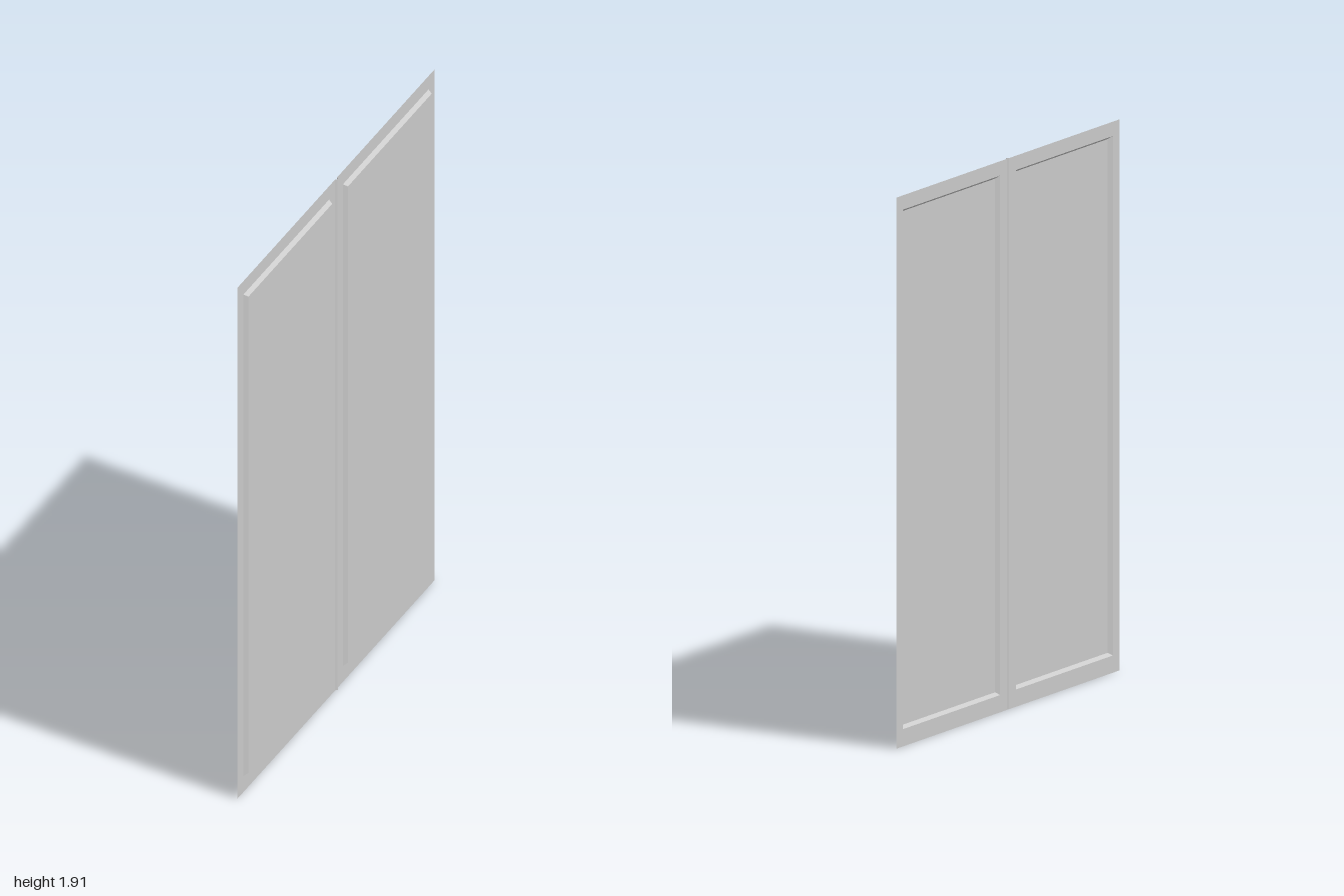
import * as THREE from 'three';

const HEIGHT = 1.915;
const BACK = -0.008;   // depth of the flat frame sheet
const FRONT = 0.007;   // depth of the raised panel
const RIDGE = -0.001;  // depth of the centre strip
const STRIP = 0.008;   // half width of the centre strip

const material = new THREE.MeshStandardMaterial({
  color: 0xcccccc, side: THREE.DoubleSide, flatShading: true,
});

function mesh(name, geometry) {
  const m = new THREE.Mesh(geometry, material);
  m.name = name;
  return m;
}

// Corners of a rectangle, counter-clockwise
const rect = (u0, u1, y0, y1) => [[u0, y0], [u1, y0], [u1, y1], [u0, y1]];
const points = (r) => r.map(([u, y]) => new THREE.Vector2(u, y));

// Sloped band joining an outer rectangle to an inner one
function bevel(outer, inner, zOuter, zInner) {
  const pos = [];
  for (let i = 0; i < 4; i++) {
    const j = (i + 1) % 4;
    const a = [...outer[i], zOuter], b = [...outer[j], zOuter];
    const c = [...inner[j], zInner], d = [...inner[i], zInner];
    pos.push(...a, ...b, ...c, ...a, ...c, ...d);
  }
  const g = new THREE.BufferGeometry();
  g.setAttribute('position', new THREE.Float32BufferAttribute(pos, 3));
  g.computeVertexNormals();
  return g;
}

// One leaf: flat frame, bevelled moulding and raised panel
function door(name, side) {
  const span = (near, far, y0, y1) =>
    side > 0 ? rect(near, far, y0, y1) : rect(-far, -near, y0, y1);
  const edge = span(STRIP, 1, 0, HEIGHT);
  const outer = span(0.07, 0.94, 0.06, 1.865);
  const inner = span(0.08, 0.93, 0.07, 1.855);

  const frameShape = new THREE.Shape(points(edge));
  frameShape.holes.push(new THREE.Path(points(outer)));

  const leaf = new THREE.Group();
  leaf.name = name;
  leaf.add(
    mesh('frame', new THREE.ShapeGeometry(frameShape).translate(0, 0, BACK)),
    mesh('moulding', bevel(outer, inner, BACK, FRONT)),
    mesh('panel', new THREE.ShapeGeometry(new THREE.Shape(points(inner))).translate(0, 0, FRONT)),
  );
  return leaf;
}

// Narrow folded strip where the leaves meet, open at top and bottom
function centreStrip() {
  const profile = [[-STRIP, BACK], [-0.003, RIDGE], [0.003, RIDGE], [STRIP, BACK]];
  const pos = [];
  for (let i = 0; i < 3; i++) {
    const [u0, z0] = profile[i], [u1, z1] = profile[i + 1];
    const a = [u0, 0, z0], b = [u1, 0, z1], c = [u1, HEIGHT, z1], d = [u0, HEIGHT, z0];
    pos.push(...a, ...b, ...c, ...a, ...c, ...d);
  }
  const g = new THREE.BufferGeometry();
  g.setAttribute('position', new THREE.Float32BufferAttribute(pos, 3));
  g.computeVertexNormals();
  return mesh('centreStrip', g);
}

export function createModel() {
  const model = new THREE.Group();
  model.name = 'doubleDoor';
  model.add(door('rearDoor', 1), door('frontDoor', -1), centreStrip());
  // Turn the leaves so the raised panels face +x
  model.rotation.y = Math.PI / 2;
  const root = new THREE.Group();
  root.add(model);
  return root;
}
